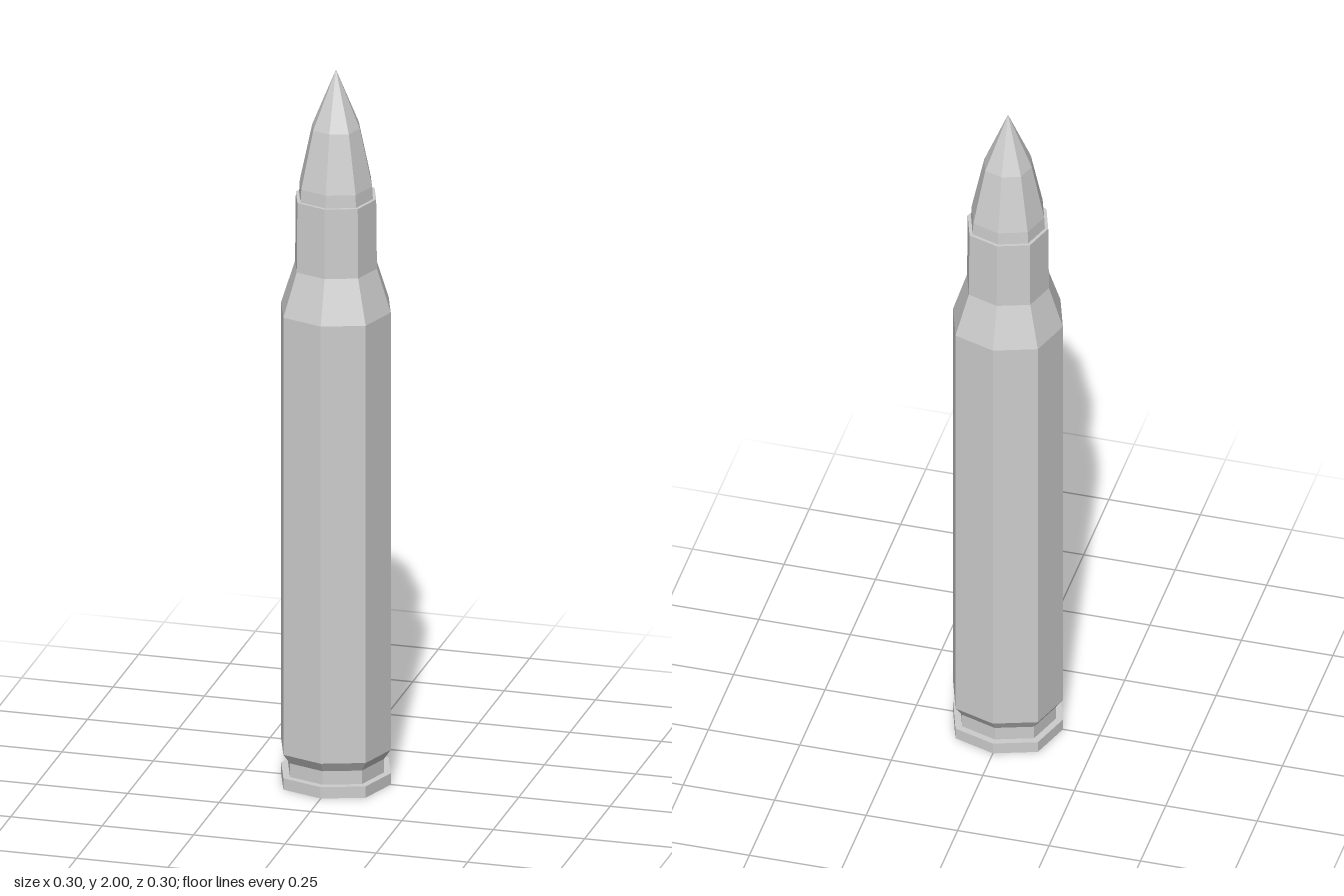
import * as THREE from 'three';

// Faceted eight-sided lathe; the diagonal corners are pushed out to 0.75 r on each axis.
function facetedLathe(name, profile, material) {
  const points = profile.map(([r, y]) => new THREE.Vector2(r, y));
  const lathe = new THREE.LatheGeometry(points, 8);
  const pos = lathe.attributes.position;
  for (let i = 0; i < pos.count; i++) {
    const x = pos.getX(i), z = pos.getZ(i);
    if (Math.min(Math.abs(x), Math.abs(z)) > 1e-4) {
      const k = 0.75 / Math.SQRT1_2;
      pos.setX(i, x * k);
      pos.setZ(i, z * k);
    }
  }
  const geometry = lathe.toNonIndexed();
  geometry.computeVertexNormals();
  const mesh = new THREE.Mesh(geometry, material);
  mesh.name = name;
  return mesh;
}

export function createModel() {
  const group = new THREE.Group();
  group.name = 'cartridge';
  const metal = new THREE.MeshStandardMaterial({ color: 0xcccccc });
  metal.name = 'pale grey metal';

  // Case: flat base, rim, extractor groove, body, shoulder, neck and mouth
  group.add(facetedLathe('case', [
    [0, 0], [0.15, 0], [0.15, 0.032], [0.131, 0.032], [0.131, 0.07],
    [0.15, 0.098], [0.15, 1.33], [0.112, 1.45], [0.11, 1.645], [0.098, 1.645],
  ], metal));

  // Pointed tip seated in the mouth
  group.add(facetedLathe('pointedTip', [
    [0.1, 1.63], [0.101, 1.645], [0.099, 1.68], [0.065, 1.84], [0, 2],
  ], metal));

  return group;
}
